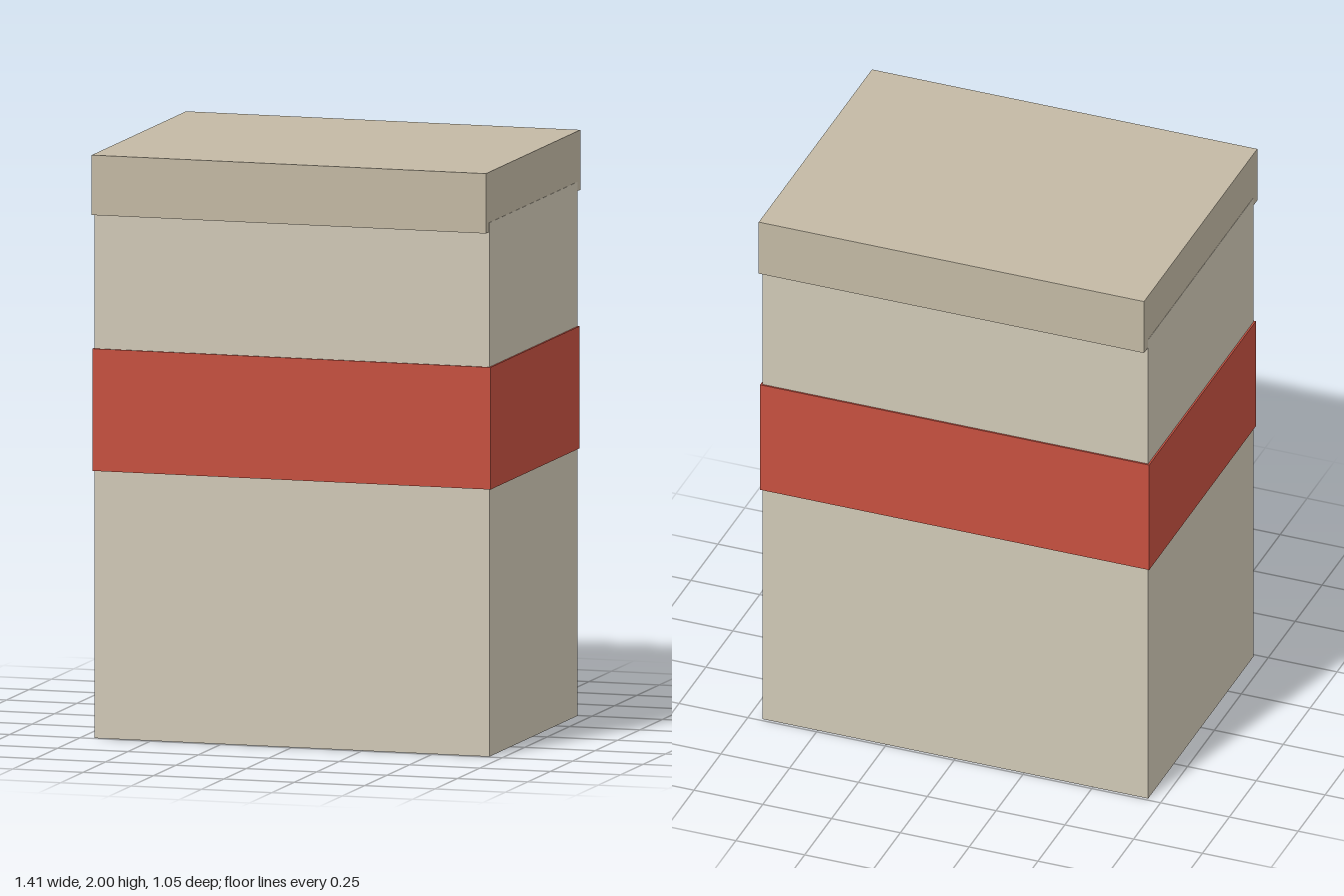
import * as THREE from 'three';

// A box given by its size and the height of its bottom and top
function slab(name, width, depth, bottom, top, color) {
  const mesh = new THREE.Mesh(
    new THREE.BoxGeometry(width, top - bottom, depth),
    new THREE.MeshStandardMaterial({ color })
  );
  mesh.name = name;
  mesh.position.y = (bottom + top) / 2;
  return mesh;
}

export function createModel() {
  const model = new THREE.Group();
  model.name = 'liddedBox';

  // Tall body, reaching a little way up into the lid and just flush at its sides
  model.add(slab('body', 1.402, 0.98, 0, 1.827, 0xd0c8b6));

  // Coloured band wrapped around the middle
  model.add(slab('band', 1.414, 0.992, 0.915, 1.333, 0xc65040));

  // Lid, overhanging at the front and back only
  model.add(slab('lid', 1.4, 1.052, 1.795, 2, 0xc3b9a4));

  return model;
}
